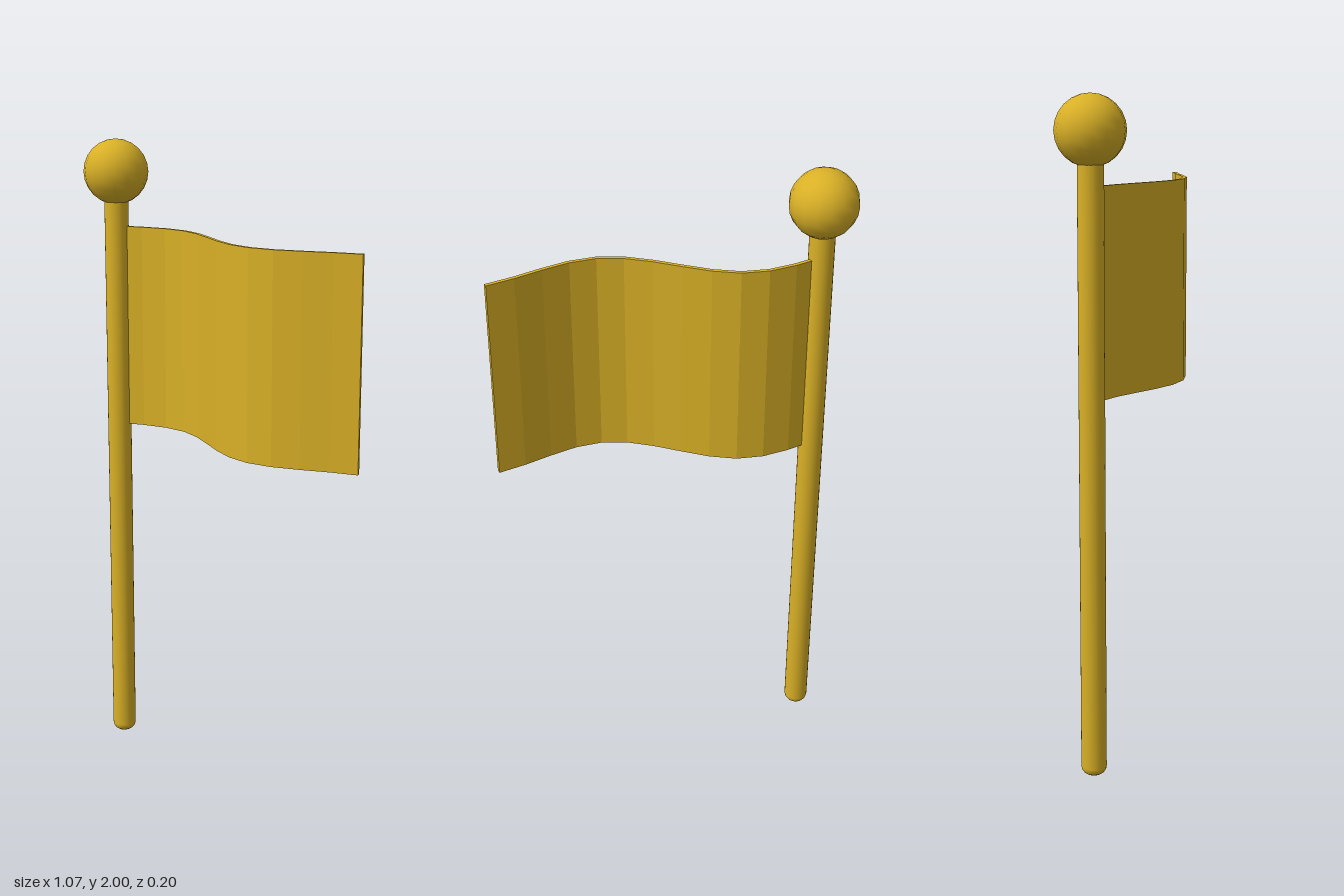
import * as THREE from 'three';

const POLE_X = -0.435;

export function createModel() {
  const model = new THREE.Group();
  model.name = 'flagOnPole';
  const gold = new THREE.MeshStandardMaterial({ color: 0xd9b026 });
  gold.name = 'gold';

  const add = (name, geometry) => {
    const mesh = new THREE.Mesh(geometry, gold);
    mesh.name = name;
    model.add(mesh);
    return mesh;
  };

  // Pole with a rounded foot
  const R = 0.038, round = 0.026;
  const profile = [new THREE.Vector2(0, 0)];
  for (let i = 0; i <= 4; i++) {
    const a = (i / 4) * Math.PI / 2;
    profile.push(new THREE.Vector2(R - round + round * Math.sin(a), round * (1 - Math.cos(a))));
  }
  profile.push(new THREE.Vector2(R, 1.82), new THREE.Vector2(0, 1.82));
  add('pole', new THREE.LatheGeometry(profile, 24)).position.x = POLE_X;

  // Ball finial
  add('finial', new THREE.SphereGeometry(0.102, 16, 12)).position.set(POLE_X, 1.898, 0);

  // Waving flag: flat panels following the wave, given a thin thickness
  const waveZ = [0, -0.036, -0.06, -0.063, -0.041, -0.004, 0.035, 0.065, 0.074, 0.058, 0.023, -0.017, -0.05];
  const line = waveZ.map((z, i) => new THREE.Vector2(POLE_X + (i / 12) * 0.968, -z));
  const offset = (side) => line.map((p, i) => {
    const t = line[Math.min(i + 1, 12)].clone().sub(line[Math.max(i - 1, 0)]).normalize();
    return new THREE.Vector2(p.x - t.y * side, p.y + t.x * side);
  });
  const outline = new THREE.Shape([...offset(-0.006), ...offset(0.006).reverse()]);
  const flag = new THREE.ExtrudeGeometry(outline, { depth: 0.642, bevelEnabled: false });
  flag.rotateX(-Math.PI / 2);
  add('flag', flag).position.y = 1.086;

  return model;
}
